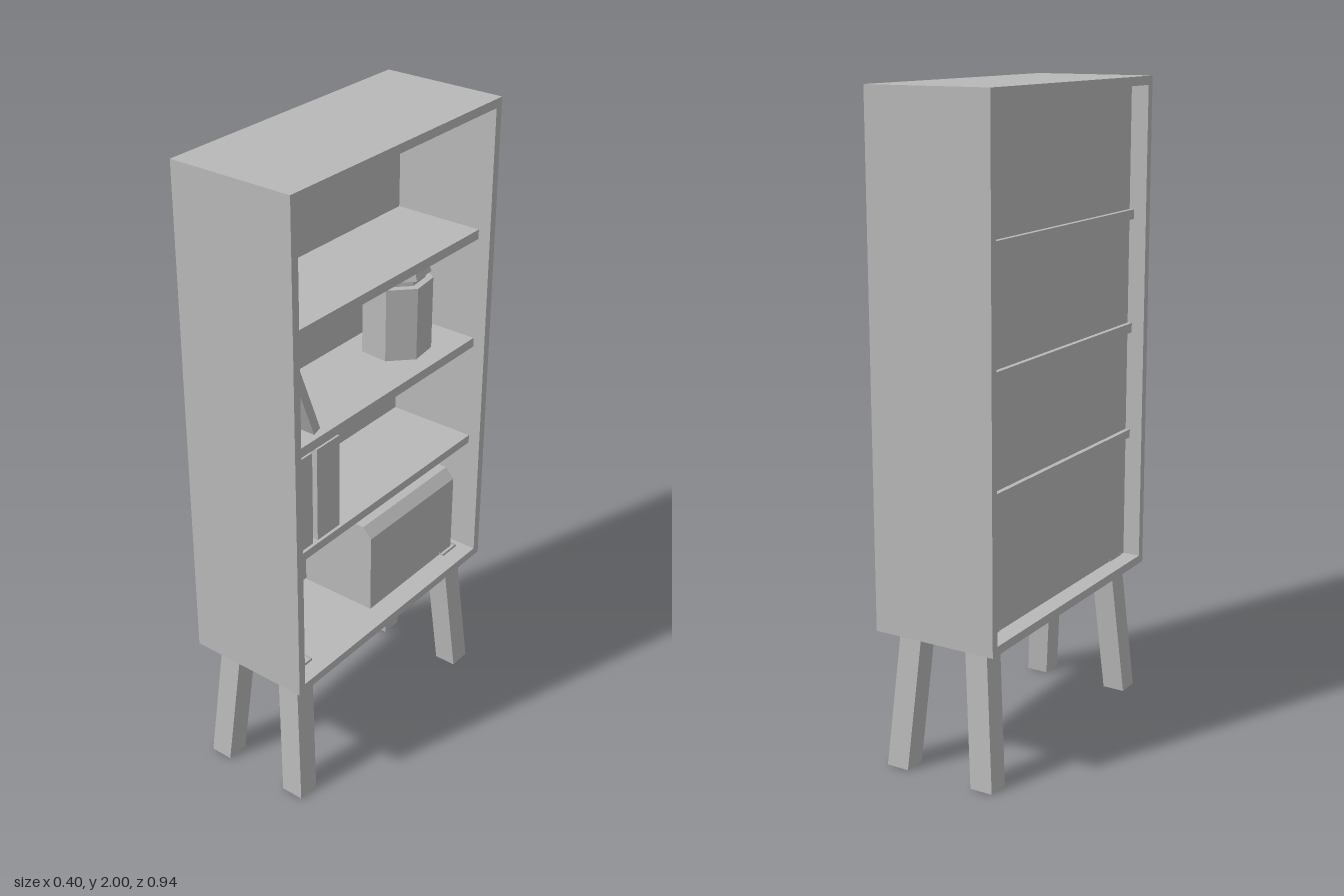
import * as THREE from 'three';

const grey = new THREE.MeshStandardMaterial({ color: 0xb8b8b8 });
const greyThin = new THREE.MeshStandardMaterial({ color: 0xb8b8b8, side: THREE.DoubleSide });
grey.name = 'grey';
greyThin.name = 'grey open';

// Faceted mesh: one normal per face
function part(name, geometry, material = grey) {
  const g = geometry.index ? geometry.toNonIndexed() : geometry;
  g.computeVertexNormals();
  const mesh = new THREE.Mesh(g, material);
  mesh.name = name;
  return mesh;
}

// Box given by its limits on each axis
function box(name, [x0, x1], [y0, y1], [z0, z1]) {
  const mesh = part(name, new THREE.BoxGeometry(x1 - x0, y1 - y0, z1 - z0));
  mesh.position.set((x0 + x1) / 2, (y0 + y1) / 2, (z0 + z1) / 2);
  return mesh;
}

// Outline in (-z, y) or (x, y) extruded about its own middle
function extrude(shape, depth) {
  return new THREE.ExtrudeGeometry(shape, { depth, bevelEnabled: false }).translate(0, 0, -depth / 2);
}

const points = (list) => list.map(([x, y]) => new THREE.Vector2(x, y));

function createLeg(sx, sz) {
  const height = 0.468, width = 0.073;
  const g = new THREE.CylinderGeometry(width / Math.SQRT2, width / Math.SQRT2, height, 4, 1, true);
  g.rotateY(Math.PI / 4).translate(0, height / 2, 0);
  // Splay: the foot stands further out than the top
  const p = g.attributes.position;
  for (let i = 0; i < p.count; i++) {
    const t = p.getY(i) / height;
    p.setX(i, p.getX(i) + sx * (0.147 - 0.038 * t));
    p.setZ(i, p.getZ(i) + sz * (0.414 - 0.035 * t));
  }
  return part('leg', g, greyThin);
}

function createJar() {
  const jar = new THREE.Group();
  jar.name = 'jar';
  const sections = [
    ['jarBody', 0.109, 0.109, 1.233, 1.466],
    ['jarNeck', 0.085, 0.085, 1.466, 1.487],
    ['jarLid', 0.088, 0.103, 1.487, 1.525],
  ];
  for (const [name, top, bottom, y0, y1] of sections) {
    const mesh = part(name, new THREE.CylinderGeometry(top, bottom, y1 - y0, 7));
    mesh.position.y = (y0 + y1) / 2;
    jar.add(mesh);
  }
  jar.rotation.y = THREE.MathUtils.degToRad(20);
  jar.position.set(0, 0, -0.253);
  return jar;
}

export function createModel() {
  const model = new THREE.Group();
  model.name = 'bookcase';

  // Outer frame, open towards +x and -x
  const outline = new THREE.Shape(points([[-0.468, 0.433], [0.468, 0.433], [0.468, 2], [-0.468, 2]]));
  outline.holes.push(new THREE.Path(points([[-0.442, 0.46], [-0.442, 1.973], [0.442, 1.973], [0.442, 0.46]])));
  model.add(part('frame', extrude(outline, 0.4).rotateY(Math.PI / 2)));

  // Recessed back panel and shelves
  model.add(box('backPanel', [-0.143, -0.133], [0.46, 1.973], [-0.442, 0.442]));
  for (const [y0, y1] of [[0.857, 0.884], [1.203, 1.233], [1.563, 1.593]]) {
    model.add(box('shelf', [-0.158, 0.16], [y0, y1], [-0.442, 0.442]));
  }

  // Splayed legs
  for (const sx of [-1, 1]) for (const sz of [-1, 1]) model.add(createLeg(sx, sz));

  // Upright books and one leaning book
  model.add(box('book', [-0.13, 0.15], [0.884, 1.187], [0.336, 0.431]));
  model.add(box('book', [-0.13, 0.15], [0.884, 1.187], [0.214, 0.315]));
  const leaning = part('leaningBook', new THREE.BoxGeometry(0.28, 0.32, 0.028));
  leaning.position.set(0.008, 1.393, 0.368);
  leaning.rotation.x = 0.37;
  model.add(leaning);

  model.add(createJar());

  // Storage box with sloped lid edges
  const profile = new THREE.Shape(points([
    [-0.13, 0.46], [0.13, 0.46], [0.13, 0.724], [0.1, 0.757], [-0.1, 0.757], [-0.13, 0.724],
  ]));
  const storage = part('storageBox', extrude(profile, 0.441));
  storage.position.z = -0.187;
  model.add(storage);

  return model;
}
